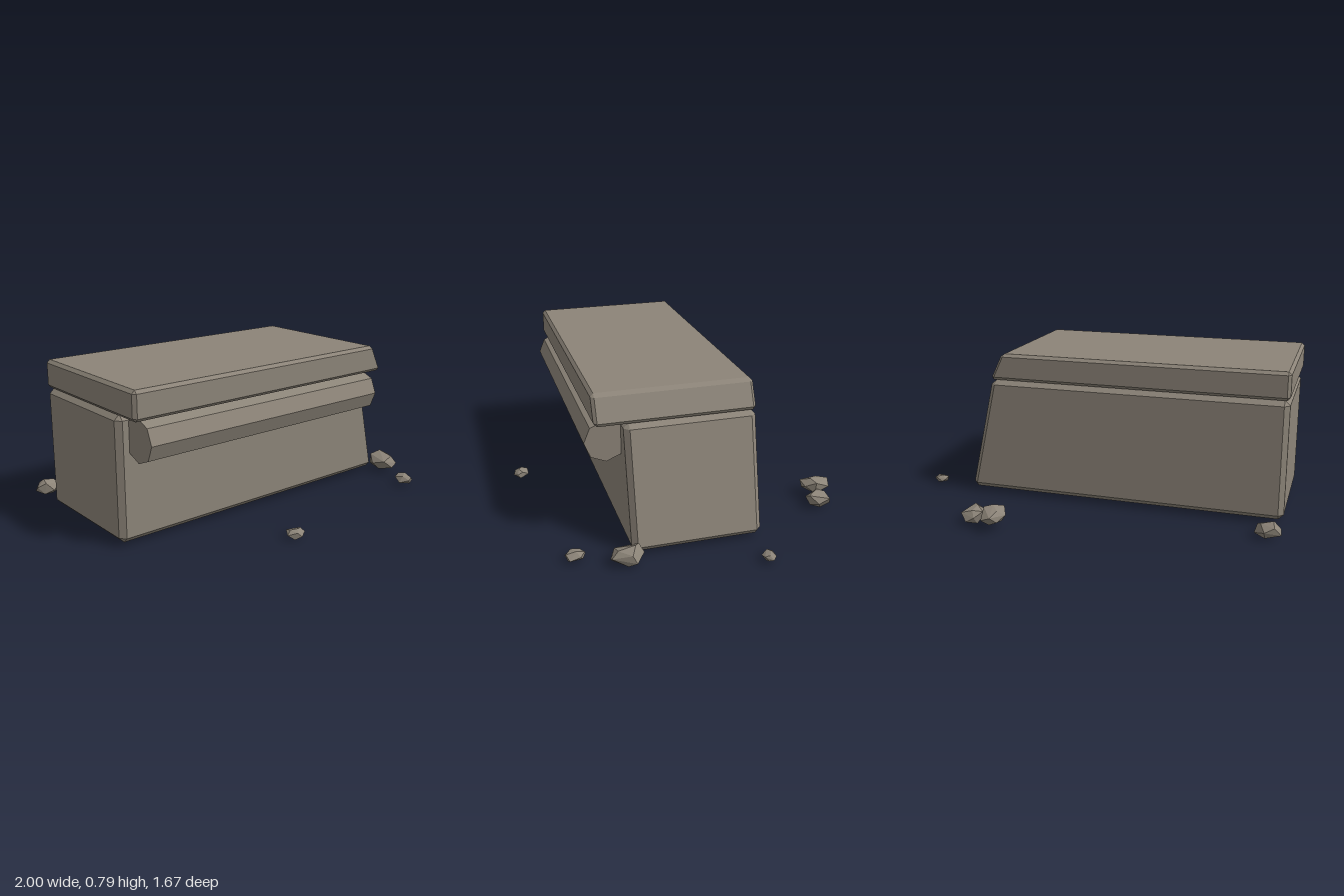
import * as THREE from 'three';
import { ConvexGeometry } from 'three/addons/geometries/ConvexGeometry.js';

const stone = new THREE.MeshStandardMaterial({ color: 0x8c8478 });
stone.name = 'weathered stone';

function addPart(group, name, geometry) {
  const mesh = new THREE.Mesh(geometry, stone);
  mesh.name = name;
  group.add(mesh);
  return mesh;
}

// Bevelled block whose +x end leans from xBottom to xTop
function leaningBlock({ xLeft, xBottom, xTop, y, z, bevel }) {
  const points = [];
  for (const i of [0, 1]) for (const j of [0, 1]) for (const k of [0, 1]) {
    // each corner becomes three points, one on each neighbouring face
    for (let face = 0; face < 3; face++) {
      const inset = (axis, side) => (axis === face ? 0 : side ? -bevel : bevel);
      const py = y[j] + inset(1, j);
      const t = (py - y[0]) / (y[1] - y[0]);
      const end = i ? THREE.MathUtils.lerp(xBottom, xTop, t) : xLeft;
      points.push(new THREE.Vector3(end + inset(0, i), py, z[k] + inset(2, k)));
    }
  }
  return new ConvexGeometry(points);
}

// Small seeded generator for the rubble
function seeded(seed) {
  return () => {
    seed = (seed * 16807) % 2147483647;
    return seed / 2147483647;
  };
}

// Angular pebble stretched to fill the given bounds
function pebble(x, y, z, seed) {
  const random = seeded(seed * 7919 + 13);
  const points = [];
  const count = 13;
  for (let i = 0; i < count; i++) {
    const h = 1 - (2 * (i + 0.5)) / count;
    const angle = i * 2.4 + random() * 0.7 + seed;
    const r = Math.sqrt(1 - h * h);
    const size = 0.8 + random() * 0.3;
    points.push(new THREE.Vector3(r * Math.cos(angle), h, r * Math.sin(angle)).multiplyScalar(size));
  }
  const box = new THREE.Box3().setFromPoints(points);
  for (const p of points) {
    p.sub(box.min).divide(box.max.clone().sub(box.min));
    p.set(
      THREE.MathUtils.lerp(x[0], x[1], p.x),
      THREE.MathUtils.lerp(y[0], y[1], p.y),
      THREE.MathUtils.lerp(z[0], z[1], p.z)
    );
  }
  return new ConvexGeometry(points);
}

export function createModel() {
  const group = new THREE.Group();
  group.name = 'brokenStoneLedge';

  // Main block with a sloping end
  addPart(group, 'body', leaningBlock({
    xLeft: -0.988, xBottom: 0.742, xTop: 0.6, y: [0.018, 0.645], z: [-0.297, 0.376], bevel: 0.027,
  }));

  // Overhanging slab on top
  addPart(group, 'topSlab', leaningBlock({
    xLeft: -0.988, xBottom: 0.605, xTop: 0.535, y: [0.645, 0.79], z: [-0.297, 0.52], bevel: 0.016,
  }));

  // Eight-sided moulding under the overhang
  const roll = new THREE.CylinderGeometry(0.108, 0.108, 1.452, 8).toNonIndexed();
  roll.computeVertexNormals();
  roll.rotateZ(Math.PI / 2);
  addPart(group, 'roundMoulding', roll).position.set(-0.203, 0.537, 0.451);

  // Scattered rubble: x, y and z bounds
  const rubble = [
    [[0.34, 0.458], [0.02, 0.11], [-0.835, -0.67]],
    [[0.465, 0.575], [0.0, 0.085], [-0.775, -0.65]],
    [[-1.0, -0.865], [0.005, 0.09], [-0.525, -0.42]],
    [[0.915, 1.0], [0.005, 0.05], [-0.285, -0.215]],
    [[0.715, 0.855], [0.005, 0.105], [0.335, 0.498]],
    [[0.64, 0.728], [0.008, 0.06], [0.6, 0.702]],
    [[-0.332, -0.237], [0.003, 0.05], [0.752, 0.835]],
  ];
  rubble.forEach(([x, y, z], i) => addPart(group, `rubble${i + 1}`, pebble(x, y, z, i + 1)));

  return group;
}
